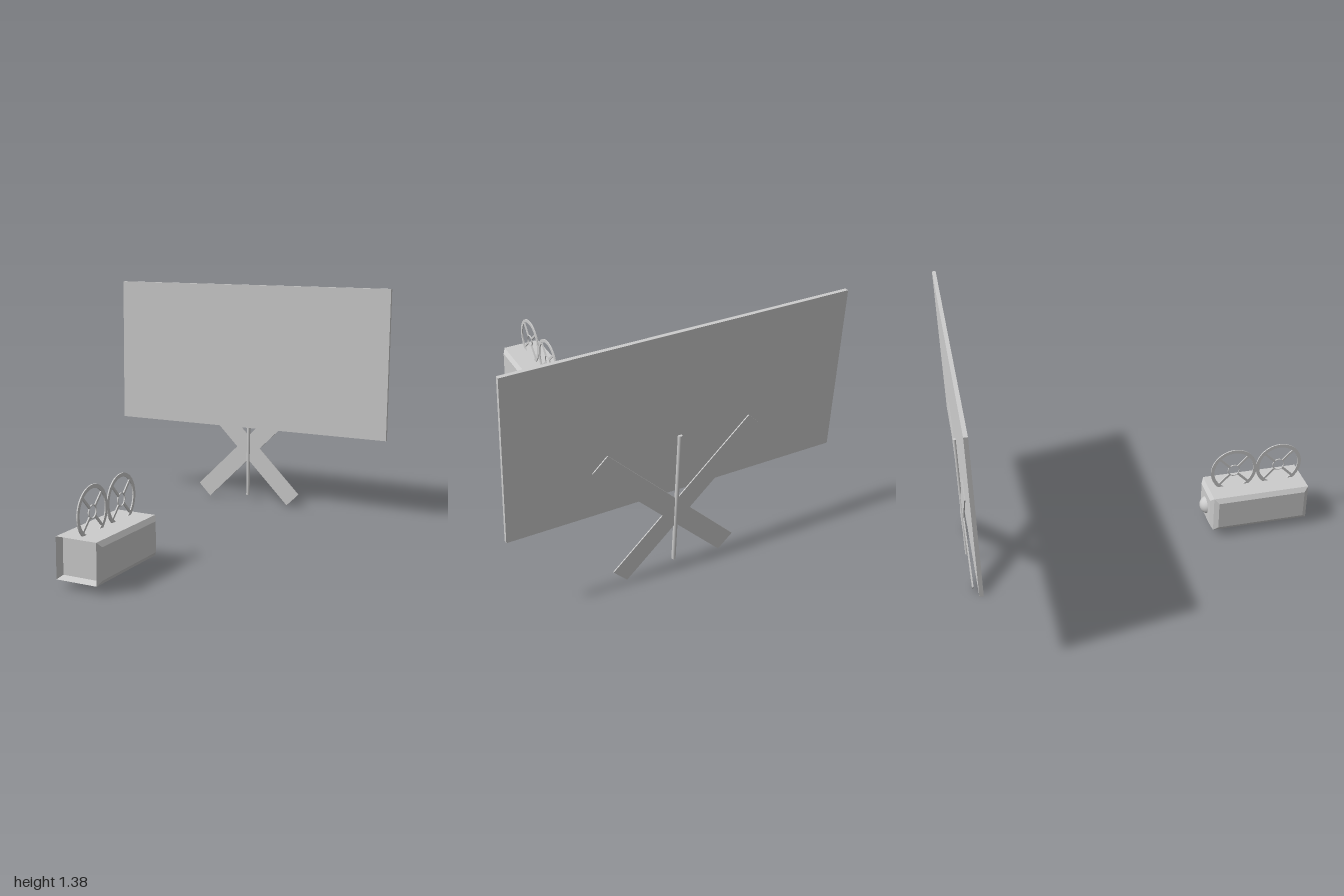
import * as THREE from 'three';

const material = new THREE.MeshStandardMaterial({ color: 0xcccccc, side: THREE.DoubleSide });
const flat = new THREE.MeshStandardMaterial({ color: 0xcccccc, flatShading: true, side: THREE.DoubleSide });

function add(parent, name, geometry, x, y, z, mat = material) {
  const mesh = new THREE.Mesh(geometry, mat);
  mesh.name = name;
  mesh.position.set(x, y, z);
  parent.add(mesh);
  return mesh;
}

// Rectangular panel facing +z, its middle raised (or sunk) by depth with sloped borders
function panelGeometry(w, h, inset, depth) {
  const rect = (a, b, z) => [[-a, -b, z], [a, -b, z], [a, b, z], [-a, b, z]];
  const outer = rect(w / 2, h / 2, 0);
  const inner = rect(w / 2 - inset, h / 2 - inset, depth);
  const points = [];
  const quad = (a, b, c, d) => points.push(...a, ...b, ...c, ...a, ...c, ...d);
  quad(...inner);
  for (let i = 0; i < 4; i++) {
    const j = (i + 1) % 4;
    quad(outer[i], outer[j], inner[j], inner[i]);
  }
  const geometry = new THREE.BufferGeometry();
  geometry.setAttribute('position', new THREE.Float32BufferAttribute(points, 3));
  geometry.computeVertexNormals();
  return geometry;
}

function ringGeometry(outer, inner, thickness) {
  const shape = new THREE.Shape().absarc(0, 0, outer, 0, Math.PI * 2);
  shape.holes.push(new THREE.Path().absarc(0, 0, inner, 0, Math.PI * 2, true));
  return new THREE.ExtrudeGeometry(shape, { depth: thickness, bevelEnabled: false, curveSegments: 24 })
    .translate(0, 0, -thickness / 2);
}

// Film reel: rim, small hub ring and four diagonal spokes
function createReel() {
  const reel = new THREE.Group();
  reel.name = 'filmReel';
  const thickness = 0.007, rim = 0.138;
  add(reel, 'reelRim', ringGeometry(rim, 0.118, thickness), 0, 0, 0);
  add(reel, 'reelHub', ringGeometry(0.036, 0.032, thickness), 0, 0, 0);
  for (let i = 0; i < 4; i++) {
    const angle = Math.PI / 4 + i * Math.PI / 2;
    const spoke = add(reel, 'reelSpoke', new THREE.BoxGeometry(0.09, 0.013, thickness),
      Math.cos(angle) * 0.078, Math.sin(angle) * 0.078, 0);
    spoke.rotation.z = angle;
  }
  reel.rotation.y = Math.PI / 2;
  return reel;
}

function createProjector() {
  const projector = new THREE.Group();
  projector.name = 'projector';
  const w = 0.232, h = 0.218, l = 0.57, cy = 0.153, cz = 0.715;

  // Housing: raised sides and back, sunken front
  for (const side of [1, -1]) {
    const sidePanel = add(projector, 'housingSide', panelGeometry(l, h, 0.026, 0.018), side * w / 2, cy, cz, flat);
    sidePanel.rotation.y = side * Math.PI / 2;
    const lid = add(projector, side > 0 ? 'housingTop' : 'housingBottom', panelGeometry(w, l, 0.02, 0),
      0, cy + side * h / 2, cz, flat);
    lid.rotation.x = -side * Math.PI / 2;
  }
  add(projector, 'housingFront', panelGeometry(w, h, 0.014, -0.04), 0, cy, cz + l / 2, flat);
  const back = add(projector, 'housingBack', panelGeometry(w, h, 0.026, 0.016), 0, cy, cz - l / 2, flat);
  back.rotation.y = Math.PI;

  // Lens points at the screen
  add(projector, 'lens', new THREE.SphereGeometry(0.055, 32, 16), 0, 0.145, 0.435);

  for (const z of [0.85, 0.578]) {
    const reel = createReel();
    reel.position.set(0, 0.364, z);
    projector.add(reel);
  }
  return projector;
}

function createScreen() {
  const screen = new THREE.Group();
  screen.name = 'projectionScreen';
  add(screen, 'screenPanel', new THREE.BoxGeometry(1.81, 0.9, 0.021), 0, 0.93, -0.9745);

  // Crossed boards behind the panel
  for (const side of [1, -1]) {
    const board = add(screen, 'standBoard', new THREE.BoxGeometry(1.037, 0.11, 0.006),
      side * 0.059, 0.408, -0.989);
    board.rotation.z = side * Math.PI / 4;
  }
  add(screen, 'standPole', new THREE.CylinderGeometry(0.011, 0.011, 0.77, 20), 0, 0.425, -0.989);
  return screen;
}

export function createModel() {
  const model = new THREE.Group();
  model.name = 'projectorAndScreen';
  model.add(createProjector(), createScreen());
  return model;
}
